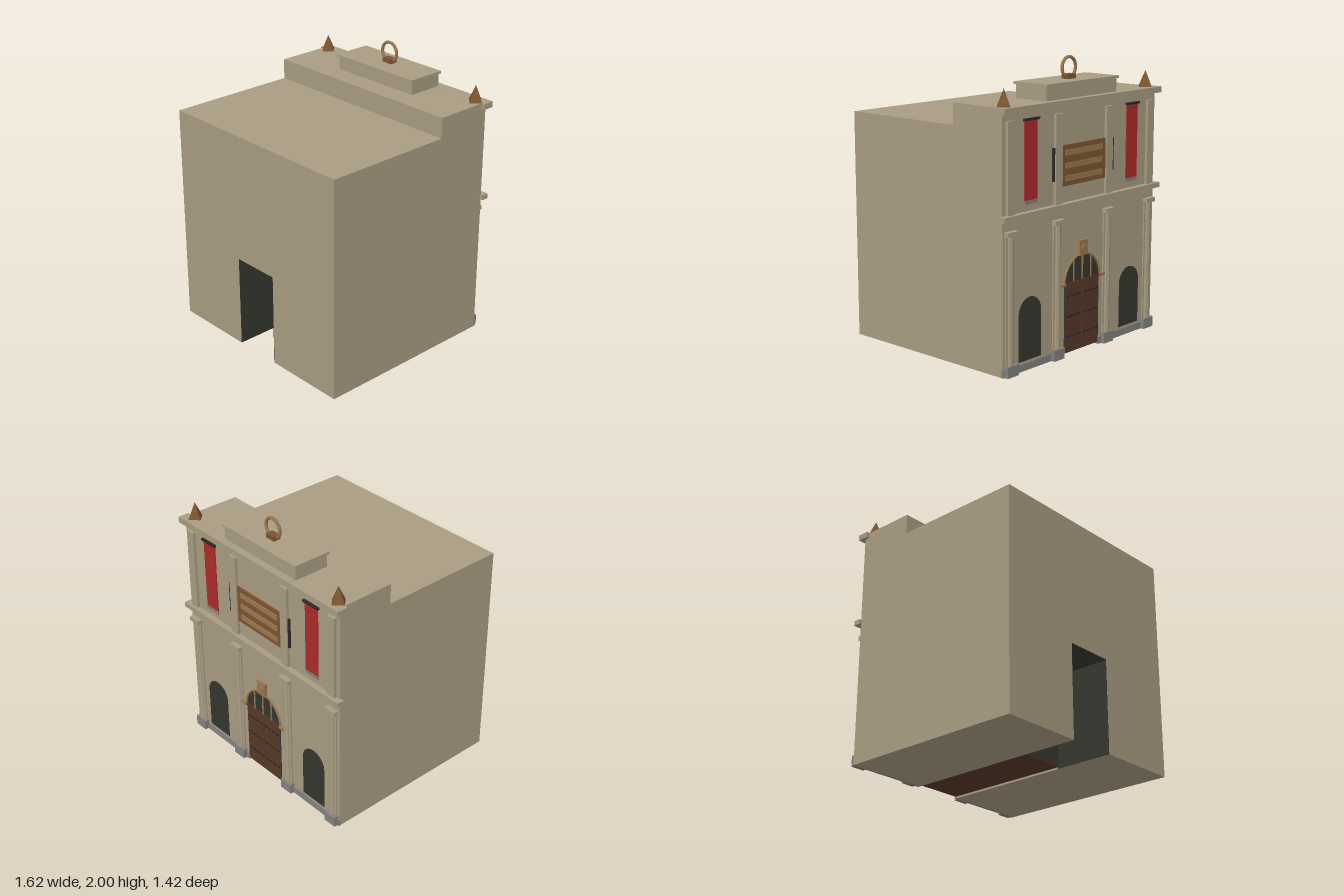
import * as THREE from 'three';

const mat = (name, color) => Object.assign(new THREE.MeshStandardMaterial({ color }), { name });

export function createModel() {
  const stone = mat('stone', 0xa89c82);
  const grey = mat('greyPlinth', 0x84817d);
  const bronze = mat('darkBronze', 0x7c5530);
  const tan = mat('lightBronze', 0x9c774e);
  const doorWood = mat('doorWood', 0x573828);
  const dark = mat('darkOpening', 0x363630);
  const iron = mat('iron', 0x2c2a27);
  const red = mat('redCloth', 0xae2a2a);

  const model = new THREE.Group();
  model.name = 'townHall';
  // The decorated face is built facing local +z, then turned to the rear.
  const facade = new THREE.Group();
  facade.name = 'facade';
  facade.rotation.y = Math.PI;
  model.add(facade);

  const add = (parent, name, geo, material) => {
    const m = new THREE.Mesh(geo, material);
    m.name = name;
    parent.add(m);
    return m;
  };
  // Box given by its min and max on each axis
  const box = (parent, name, material, x0, x1, y0, y1, z0, z1) => {
    const g = new THREE.BoxGeometry(x1 - x0, y1 - y0, z1 - z0);
    g.translate((x0 + x1) / 2, (y0 + y1) / 2, (z0 + z1) / 2);
    return add(parent, name, g, material);
  };
  // Block with a rectangular notch in the bottom, extruded along z
  const notched = (name, notch, z0, z1) => {
    const s = new THREE.Shape();
    [[-0.785, 0], [-0.18, 0], [-0.18, notch], [0.18, notch], [0.18, 0], [0.785, 0], [0.785, 1.59], [-0.785, 1.59]]
      .forEach(([x, y], i) => (i ? s.lineTo(x, y) : s.moveTo(x, y)));
    const g = new THREE.ExtrudeGeometry(s, { depth: z1 - z0, bevelEnabled: false });
    g.translate(0, 0, z0);
    add(model, name, g, stone);
  };
  // Round-topped thin plate
  const archPlate = (name, material, x, r, y0, spring, z0, depth) => {
    const s = new THREE.Shape();
    s.moveTo(-r, y0);
    s.lineTo(r, y0);
    s.lineTo(r, spring);
    s.absarc(0, spring, r, 0, Math.PI, false);
    s.lineTo(-r, y0);
    const g = new THREE.ExtrudeGeometry(s, { depth, bevelEnabled: false, curveSegments: 10 });
    g.translate(x, 0, z0);
    add(facade, name, g, material);
  };

  // Main building and stepped parapet
  notched('frontBody', 0.67, 0.28, 0.71);
  notched('rearBody', 0.02, -0.67, 0.28);
  box(model, 'parapet', stone, -0.785, 0.785, 1.59, 1.735, -0.67, -0.245);

  // Dark lining of the passage
  box(model, 'passageEnd', dark, -0.18, 0.18, 0.02, 0.67, 0.275, 0.285);
  box(model, 'passageCeiling', dark, -0.18, 0.18, 0.665, 0.67, 0.28, 0.709);
  for (const s of [-1, 1]) {
    const c = s * 0.178;
    box(model, 'passageWall', dark, c - 0.002, c + 0.002, 0.001, 0.67, 0.28, 0.709);
  }
  box(model, 'passageFloor', doorWood, -0.18, 0.18, 0.014, 0.02, -0.67, 0.285);

  // Roof pedestal and ring ornament
  box(model, 'roofPedestal', stone, -0.36, 0.36, 1.735, 1.828, -0.66, -0.4);
  box(model, 'roofPedestalCap', stone, -0.37, 0.37, 1.828, 1.845, -0.673, -0.387);
  box(model, 'ringBase', bronze, -0.04, 0.04, 1.845, 1.877, -0.57, -0.515);
  const ring = add(model, 'ring', new THREE.TorusGeometry(0.069, 0.011, 8, 28), tan);
  ring.position.set(0, 1.92, -0.542);

  // Cornices
  box(facade, 'topCornice', stone, -0.81, 0.81, 1.695, 1.736, 0.63, 0.712);
  box(facade, 'middleCornice', stone, -0.81, 0.81, 1.02, 1.055, 0.66, 0.712);

  for (const s of [-1, 1]) {
    // Corner pyramids
    const spire = add(model, 'cornerSpire', new THREE.ConeGeometry(0.058, 0.115, 4).toNonIndexed(), bronze);
    spire.geometry.computeVertexNormals();
    spire.position.set(s * 0.727, 1.7925, -0.63);

    // Columns below, pilasters above
    for (const px of [0.72, 0.262]) {
      const x = s * px;
      box(facade, 'columnPlinth', grey, x - 0.052, x + 0.052, 0, 0.075, 0.66, 0.705);
      box(facade, 'columnBacking', stone, x - 0.04, x + 0.04, 0.075, 0.93, 0.66, 0.68);
      const shaft = new THREE.CylinderGeometry(0.026, 0.028, 0.855, 8).toNonIndexed();
      shaft.computeVertexNormals();
      shaft.translate(x, 0.5025, 0.672);
      add(facade, 'columnShaft', shaft, stone);
      box(facade, 'columnCapital', stone, x - 0.048, x + 0.048, 0.922, 0.952, 0.66, 0.706);
      box(facade, 'upperPilaster', stone, x - 0.034, x + 0.034, 1.055, 1.65, 0.66, 0.69);
    }

    // Base course, either side of the door
    const b = s * 0.4825;
    box(facade, 'baseCourse', grey, b - 0.3025, b + 0.3025, 0, 0.05, 0.66, 0.678);

    // Arched windows
    archPlate('archedWindow', dark, s * 0.523, 0.108, 0.065, 0.38, 0.668, 0.005);

    // Hanging banners
    const h = s * 0.523;
    box(facade, 'bannerRod', iron, h - 0.072, h + 0.072, 1.635, 1.65, 0.668, 0.688);
    box(facade, 'bannerCloth', red, h - 0.06, h + 0.06, 1.125, 1.635, 0.668, 0.677);
    box(facade, 'bannerHem', grey, h - 0.06, h + 0.06, 1.1, 1.125, 0.668, 0.678);

    // Iron bar beside the inner pilaster
    const k = s * 0.305;
    box(facade, 'ironBar', iron, k - 0.007, k + 0.007, 1.21, 1.43, 0.668, 0.684);

    // Door leaf, iron straps and arch springer
    const d = s * 0.0885;
    box(facade, 'doorLeaf', doorWood, d - 0.0865, d + 0.0865, 0.02, 0.49, 0.665, 0.677);
    for (const y of [0.13, 0.27, 0.41]) {
      for (let i = 0; i < 4; i++) {
        const c = d + (i - 1.5) * 0.042;
        box(facade, 'doorStud', iron, c - 0.014, c + 0.014, y - 0.007, y + 0.007, 0.675, 0.681);
      }
    }
    const a = s * 0.205;
    box(facade, 'archSpringer', tan, a - 0.025, a + 0.025, 0.487, 0.505, 0.665, 0.688);
  }

  // Door surround and fanlight
  archPlate('doorBacking', dark, 0, 0.18, 0.02, 0.495, 0.668, 0.006);
  const arch = add(facade, 'doorArch', new THREE.TorusGeometry(0.185, 0.008, 6, 20, Math.PI), tan);
  arch.position.set(0, 0.495, 0.675);
  box(facade, 'doorTransom', doorWood, -0.18, 0.18, 0.485, 0.502, 0.665, 0.681);
  for (const x of [-0.09, 0, 0.09]) {
    const top = 0.495 + Math.sqrt(0.18 ** 2 - x * x);
    box(facade, 'fanlightBar', tan, x - 0.005, x + 0.005, 0.5, top, 0.67, 0.68);
  }
  // Plaque above the arch
  box(facade, 'plaque', tan, -0.042, 0.042, 0.67, 0.775, 0.665, 0.69);
  const boss = new THREE.CylinderGeometry(0.026, 0.026, 0.008, 16);
  boss.rotateX(Math.PI / 2);
  boss.translate(0, 0.72, 0.693);
  add(facade, 'plaqueBoss', boss, tan);

  // Slatted wooden board
  box(facade, 'woodBoard', bronze, -0.228, 0.228, 1.165, 1.437, 0.665, 0.68);
  for (const y of [1.215, 1.3, 1.385]) {
    box(facade, 'boardSlat', tan, -0.19, 0.19, y - 0.018, y + 0.018, 0.675, 0.687);
  }
  return model;
}
